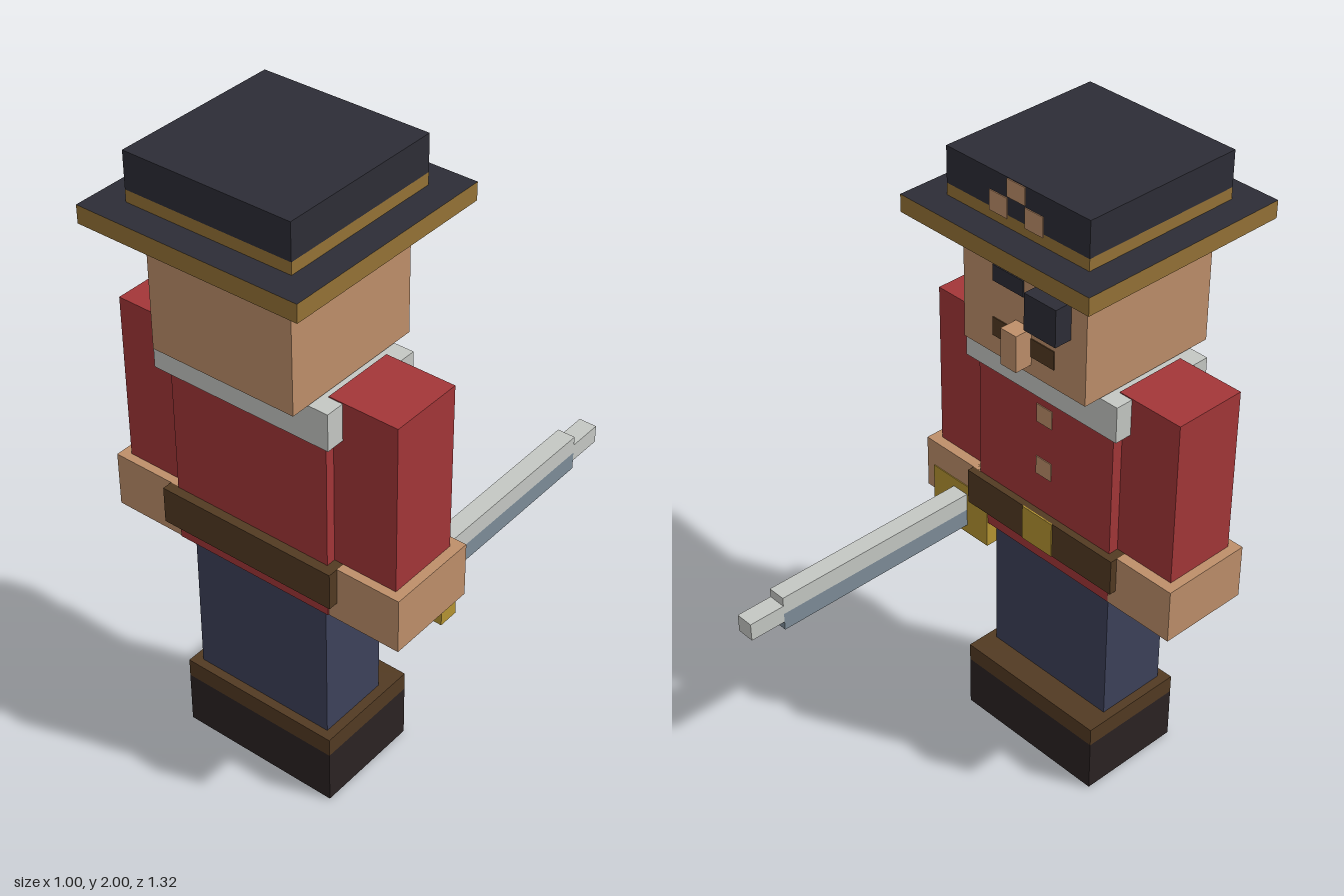
import * as THREE from 'three';

const material = (name, color) => {
  const m = new THREE.MeshStandardMaterial({ color });
  m.name = name;
  return m;
};

export function createModel() {
  const model = new THREE.Group();
  model.name = 'blockySailor';

  const red = material('coat red', 0xa33638);
  const skin = material('skin', 0xbe8f6a);
  const navy = material('trouser navy', 0x3d415a);
  const dark = material('hat black', 0x2d2d36);
  const trim = material('trim ochre', 0x957236);
  const gold = material('gold', 0xb59432);
  const brown = material('leather brown', 0x523a22);
  const boot = material('boot black', 0x2b2222);
  const silver = material('silver', 0xc5c8c4);
  const steel = material('steel', 0x7d8c98);

  // Box given by its extents on each axis
  const box = (name, mat, [x0, x1], [y0, y1], [z0, z1], parent = model) => {
    const mesh = new THREE.Mesh(new THREE.BoxGeometry(x1 - x0, y1 - y0, z1 - z0), mat);
    mesh.position.set((x0 + x1) / 2, (y0 + y1) / 2, (z0 + z1) / 2);
    mesh.name = name;
    parent.add(mesh);
    return mesh;
  };
  // Thin painted plate lying on a face that looks towards -z
  const plate = (name, mat, xs, ys, z) => box(name, mat, xs, ys, [z - 0.003, z + 0.002]);
  const wide = (h) => [-h, h];

  // Boots and legs
  box('boots', boot, wide(0.265), [0.002, 0.176], [0.11, 0.458]);
  box('bootCuff', brown, wide(0.265), [0.176, 0.236], [0.11, 0.458]);
  box('legs', navy, wide(0.235), [0.2, 0.72], [0.195, 0.43]);
  for (const s of [-1, 1]) {
    box('sole', navy, [s * 0.12 - 0.07, s * 0.12 + 0.07], [0, 0.004], [0.23, 0.38]);
  }

  // Coat, collar and belt
  box('torso', red, wide(0.265), [0.71, 1.408], [0.16, 0.458]);
  box('collar', silver, wide(0.295), [1.295, 1.41], [0.137, 0.487]);
  box('belt', brown, wide(0.295), [0.768, 0.885], [0.137, 0.487]);
  plate('buckle', gold, wide(0.06), [0.768, 0.885], 0.137);
  for (const y of [1.04, 1.22]) plate('button', skin, wide(0.03), [y - 0.03, y + 0.03], 0.16);

  // Arms and hands
  for (const s of [-1, 1]) {
    const arm = new THREE.Group();
    arm.name = s > 0 ? 'leftArm' : 'rightArm';
    const span = (a, b) => (s > 0 ? [a, b] : [-b, -a]);
    box('sleeve', red, span(0.25, 0.47), [0.88, 1.413], [0.193, 0.428], arm);
    box('hand', skin, span(0.266, 0.5), [0.71, 0.885], [0.16, 0.455], arm);
    model.add(arm);
  }

  // Head
  box('head', skin, wide(0.235), [1.413, 1.772], [0.077, 0.548]);
  box('hair', dark, wide(0.235), [1.772, 1.81], [0.077, 0.548]);
  box('nose', skin, wide(0.03), [1.445, 1.56], [0.02, 0.08]);
  box('eyePatch', dark, [-0.177, -0.059], [1.595, 1.71], [0.02, 0.08]);
  plate('strapUpper', dark, [0.118, 0.235], [1.7, 1.75], 0.077);
  plate('strapLower', dark, [0, 0.118], [1.645, 1.695], 0.077);
  for (const s of [-1, 1]) {
    plate('moustache', brown, [s * 0.074 - 0.044, s * 0.074 + 0.044], [1.472, 1.53], 0.077);
  }

  // Hat: brim with ochre edge, band, crown and badge
  box('brim', [trim, trim, dark, dark, trim, trim], wide(0.352), [1.8, 1.854], [-0.04, 0.662]);
  box('hatBand', trim, wide(0.265), [1.854, 1.89], [0.048, 0.577]);
  box('crown', dark, wide(0.265), [1.89, 2], [0.048, 0.577]);
  plate('badgeTop', skin, wide(0.033), [1.945, 1.998], 0.048);
  for (const s of [-1, 1]) {
    plate('badgeSide', skin, [s * 0.066 - 0.033, s * 0.066 + 0.033], [1.88, 1.94], 0.048);
  }

  // Sword held in the +x hand
  const sword = new THREE.Group();
  sword.name = 'sword';
  model.add(sword);
  const bladeX = [0.323, 0.381];
  box('bladeBack', silver, bladeX, [0.71, 0.768], [-0.545, 0.16], sword);
  box('bladeEdge', steel, bladeX, [0.652, 0.71], [-0.545, 0.16], sword);
  box('bladeTip', silver, bladeX, [0.681, 0.739], [-0.662, -0.545], sword);
  box('guard', gold, [0.235, 0.47], [0.622, 0.798], [0.157, 0.222], sword);
  box('grip', brown, bladeX, [0.681, 0.739], [0.222, 0.4], sword);

  return model;
}
